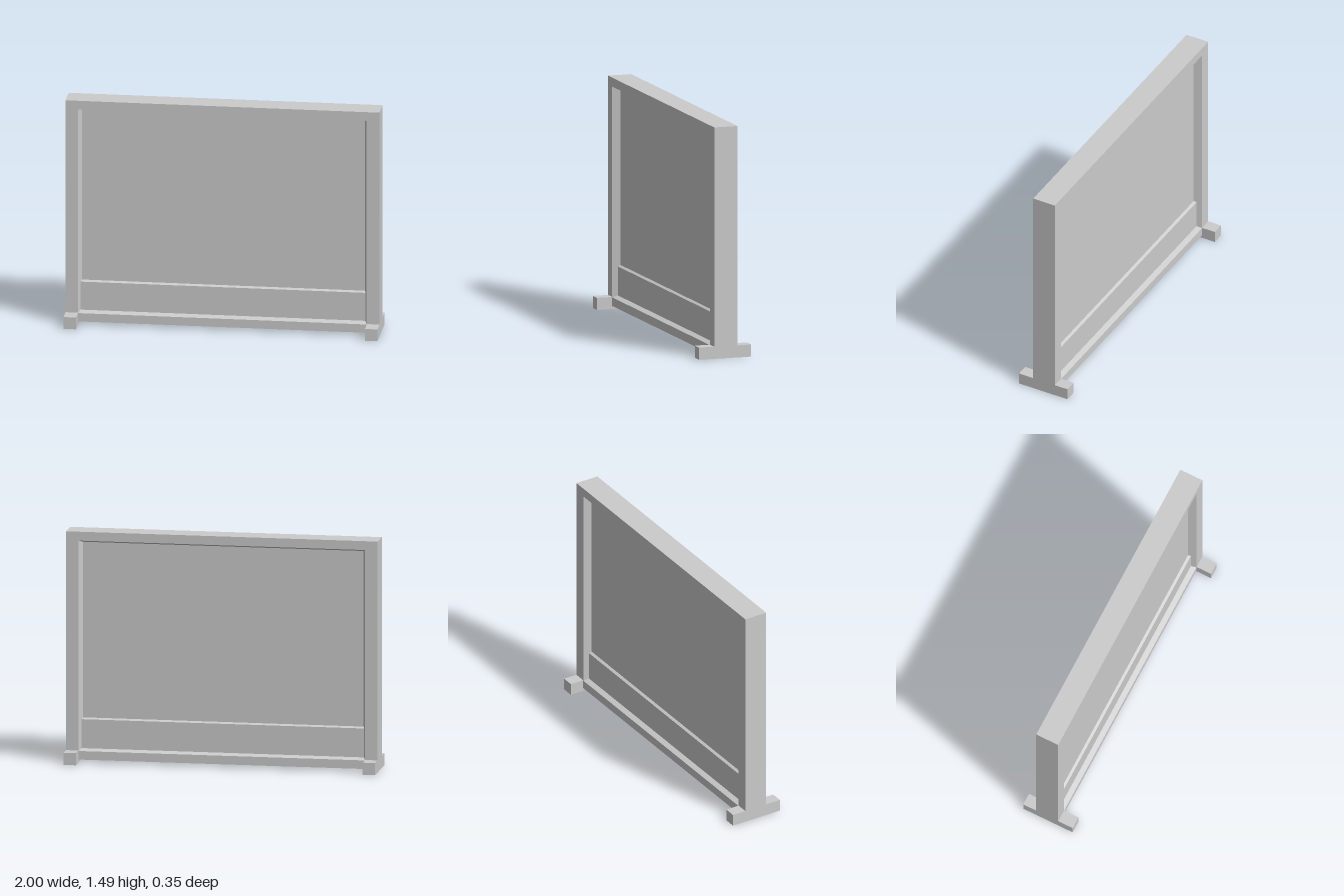
import * as THREE from 'three';

const MID = -0.005; // the frame sits slightly behind the centre of its feet
const HALF = 0.078; // half thickness of the frame
const PANEL = 0.028; // half thickness of the recessed panel
const BOARD = 0.045; // half thickness of the lower board

const material = () => new THREE.MeshStandardMaterial({ color: 0xcccccc, flatShading: true });

function add(group, name, geometry, x = 0, y = 0, z = 0) {
  const mesh = new THREE.Mesh(geometry, material());
  mesh.name = name;
  mesh.position.set(x, y, z);
  group.add(mesh);
  return mesh;
}

// Joins rectangles [x0, y0, x1, y1, z] one after another with flat quads
function rectLoft(rings) {
  const corners = rings.map(([x0, y0, x1, y1, z]) => [[x0, y0, z], [x1, y0, z], [x1, y1, z], [x0, y1, z]]);
  const positions = [];
  for (let i = 0; i < corners.length - 1; i++) {
    for (let j = 0; j < 4; j++) {
      const k = (j + 1) % 4;
      const [a, b, c, d] = [corners[i][j], corners[i][k], corners[i + 1][k], corners[i + 1][j]];
      positions.push(...a, ...b, ...c, ...a, ...c, ...d);
    }
  }
  const geometry = new THREE.BufferGeometry();
  geometry.setAttribute('position', new THREE.Float32BufferAttribute(positions, 3));
  geometry.computeVertexNormals();
  return geometry;
}

export function createModel() {
  const model = new THREE.Group();
  model.name = 'framedPanelStand';

  // Frame with reveals that taper inwards to the panel on both faces
  const outer = [-1, 0.02, 1, 1.485];
  const opening = [-0.92, 0.075, 0.918, 1.428];
  const inner = [-0.902, 0.095, 0.9, 1.412];
  add(model, 'frame', rectLoft([
    [...outer, -HALF],
    [...outer, HALF],
    [...opening, HALF],
    [...inner, PANEL],
    [...inner, -PANEL],
    [...opening, -HALF],
    [...outer, -HALF],
  ]), 0, 0, MID);

  // Main panel, its edges tucked into the frame
  add(model, 'panel', new THREE.BoxGeometry(1.84, 1.36, PANEL * 2), 0, 0.75, MID);

  // Lower board with a sloped ledge along its top on both faces
  const profile = new THREE.Shape([
    [-BOARD, 0.05], [BOARD, 0.05], [BOARD, 0.274],
    [PANEL, 0.283], [-PANEL, 0.283], [-BOARD, 0.274],
  ].map(([z, y]) => new THREE.Vector2(z, y)));
  const board = new THREE.ExtrudeGeometry(profile, { depth: 1.85, bevelEnabled: false });
  board.rotateY(-Math.PI / 2);
  add(model, 'lowerBoard', board, 0.925, 0, MID);

  // Feet across both ends
  for (const side of [-1, 1]) {
    add(model, side > 0 ? 'leftFoot' : 'rightFoot',
      new THREE.BoxGeometry(0.08, 0.078, 0.35), side * 0.96, 0.039, 0);
  }

  return model;
}
